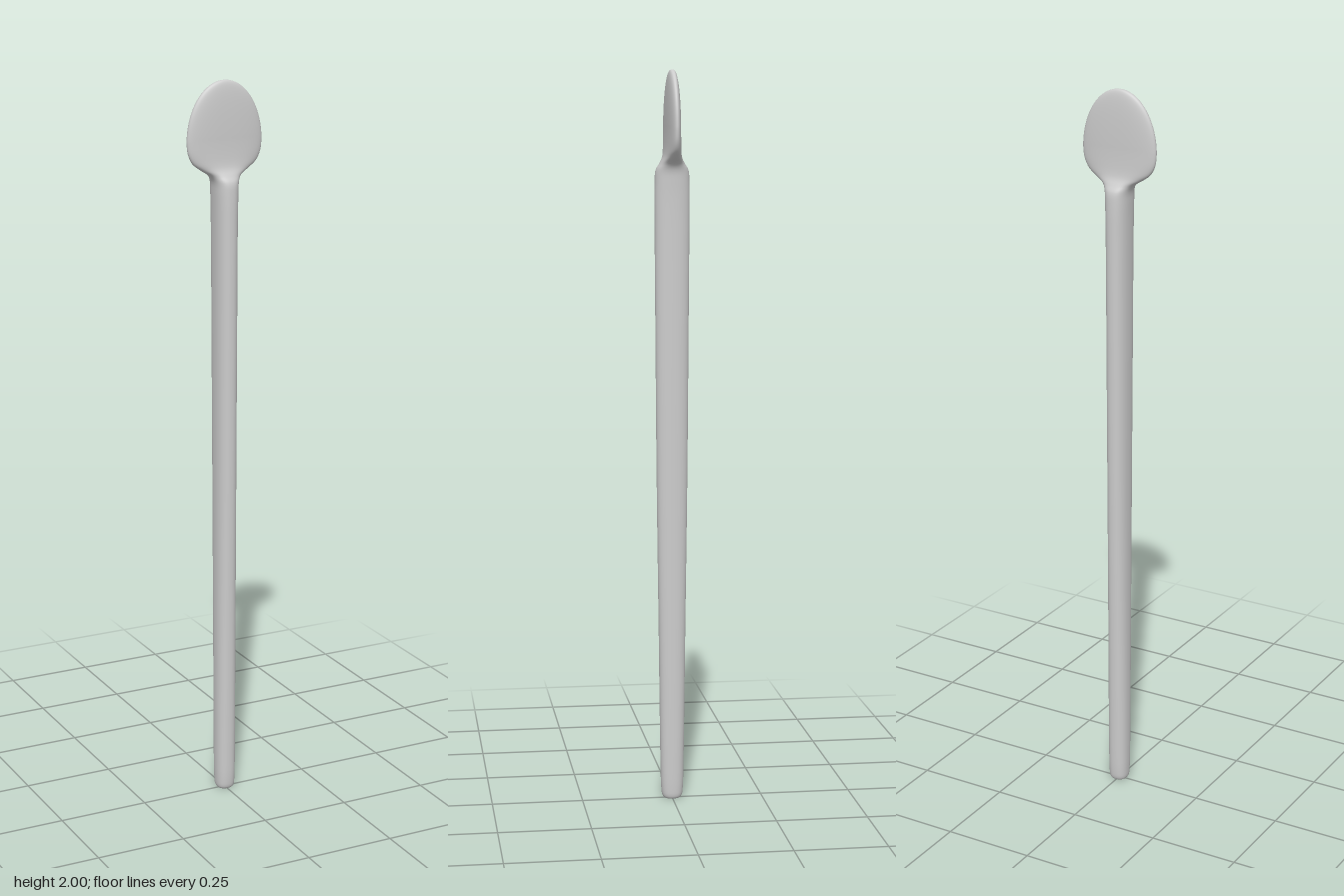
import * as THREE from 'three';

// Rounded cross-sections as [y, half width, half depth], from foot to neck
const handle = [
  [0, 0.001, 0.001], [0.001, 0.02, 0.021], [0.008, 0.025, 0.027], [0.03, 0.027, 0.03],
  [0.1, 0.028, 0.032], [0.5, 0.028, 0.037], [0.9, 0.028, 0.042], [1.3, 0.029, 0.045],
  [1.6, 0.03, 0.047], [1.7, 0.032, 0.047], [1.735, 0.035, 0.044], [1.752, 0.045, 0.034],
  [1.768, 0.07, 0.025], [1.785, 0.092, 0.021], [1.81, 0.105, 0.019], [1.84, 0.109, 0.018],
];

// Closes a stack of superelliptic rings into one smooth surface
function loft(sections, sides, power) {
  const pos = [], index = [];
  const bend = (v) => Math.sign(v) * Math.abs(v) ** (2 / power);
  sections.forEach((s, r) => {
    for (let i = 0; i < sides; i++) {
      const a = (i / sides) * Math.PI * 2;
      pos.push(s.y * bend(Math.cos(a)), s.x, s.z * bend(Math.sin(a)));
      if (r === sections.length - 1) continue;
      const p = r * sides + i, q = r * sides + (i + 1) % sides;
      index.push(p, p + sides, q, q, p + sides, q + sides);
    }
  });
  const g = new THREE.BufferGeometry();
  g.setAttribute('position', new THREE.Float32BufferAttribute(pos, 3));
  g.setIndex(index);
  g.computeVertexNormals();
  return g;
}

export function createModel() {
  const group = new THREE.Group();
  const rows = handle.slice();
  // Rounded paddle head, thinning towards its tip
  for (let i = 1; i <= 14; i++) {
    const t = (i / 14) * Math.PI / 2;
    const c = Math.max(Math.cos(t), 0.002);
    rows.push([1.84 + 0.16 * Math.sin(t), 0.109 * c, 0.018 * c ** 0.6]);
  }
  const path = new THREE.CatmullRomCurve3(rows.map((r) => new THREE.Vector3(...r)));
  const sections = path.getPoints((rows.length - 1) * 4);
  const spatula = new THREE.Mesh(
    loft(sections, 48, 2.3),
    new THREE.MeshStandardMaterial({ color: 0xcccccc }),
  );
  spatula.name = 'handleAndPaddle';
  group.add(spatula);
  return group;
}
